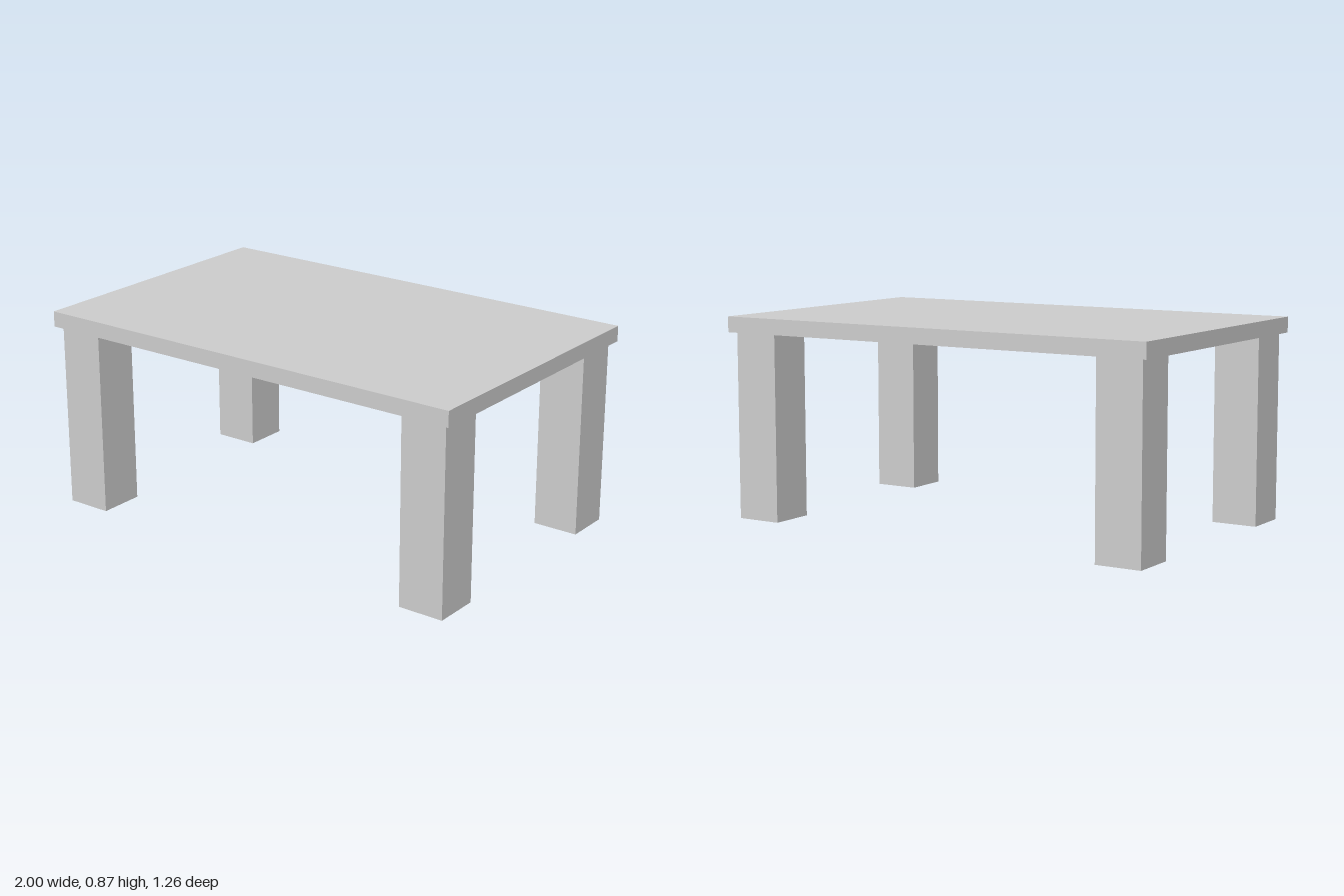
import * as THREE from 'three';

const LEG_HEIGHT = 0.8;
const LEG_WIDTH = 0.2;
const TOP_THICKNESS = 0.067;

export function createModel() {
  const table = new THREE.Group();
  table.name = 'table';
  const material = new THREE.MeshStandardMaterial({ color: 0xcccccc, flatShading: true });

  // Adds a box standing with its underside at height y
  function addBox(name, width, height, depth, x, y, z) {
    const mesh = new THREE.Mesh(new THREE.BoxGeometry(width, height, depth), material);
    mesh.name = name;
    mesh.position.set(x, y + height / 2, z);
    table.add(mesh);
  }

  // Slab resting on the legs
  addBox('tabletop', 2, TOP_THICKNESS, 1.256, 0, LEG_HEIGHT, 0);

  // Four square legs, set slightly in from the corners
  for (const [side, sx] of [['Left', 1], ['Right', -1]]) {
    for (const [end, sz] of [['front', 1], ['back', -1]]) {
      addBox(`${end}${side}Leg`, LEG_WIDTH, LEG_HEIGHT, LEG_WIDTH, sx * 0.873, 0, sz * 0.502);
    }
  }

  return table;
}
